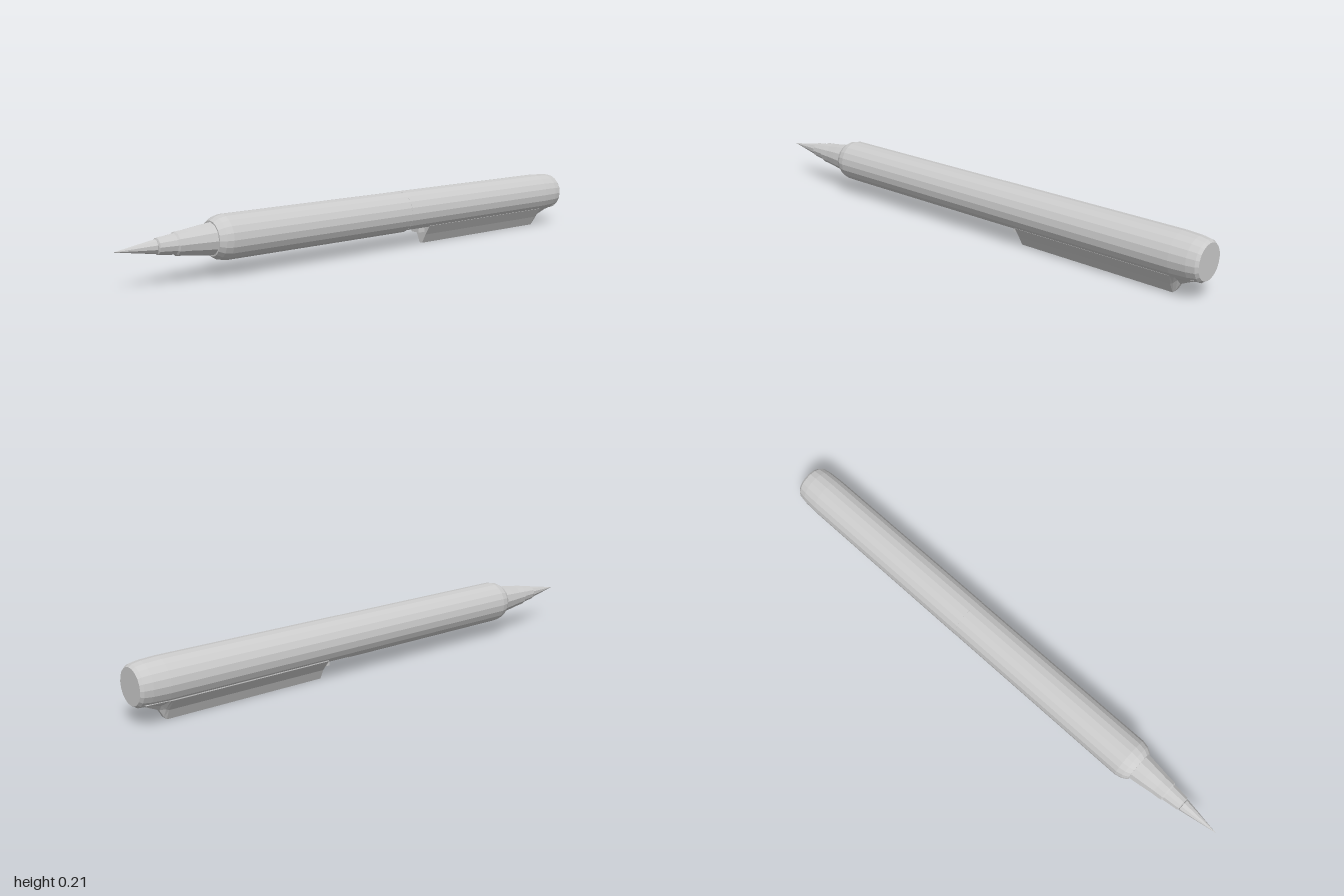
import * as THREE from 'three';

const AXIS_Y = 0.132;
const material = new THREE.MeshStandardMaterial({ color: 0xcccccc, flatShading: true, side: THREE.DoubleSide });

// Turned part along z from [radius, z] pairs, ordered back to front
function turned(name, profile, sides) {
  const geometry = new THREE.LatheGeometry(profile.map(([r, z]) => new THREE.Vector2(r, z)), sides);
  geometry.rotateX(Math.PI / 2);
  geometry.translate(0, AXIS_Y, 0);
  const mesh = new THREE.Mesh(geometry, material);
  mesh.name = name;
  return mesh;
}

// Wedge-shaped clip under the cap: one section swept through [z, height factor] stations
function makeClip() {
  const top = 0.08;
  const section = new THREE.Shape([
    [-0.007, 0], [0.007, 0], [0.026, 0.035], [0.05, 0.072], [0.05, top], [-0.056, top], [-0.056, 0.075], [-0.023, 0.035],
  ].map(([x, y]) => new THREE.Vector2(x, y)));
  const stations = [[-0.98, 0.15], [-0.91, 0.55], [-0.895, 0.88], [-0.885, 1], [-0.27, 1]];
  const steps = stations.length - 1;
  const geometry = new THREE.ExtrudeGeometry(section, { depth: steps, steps, bevelEnabled: false });
  const p = geometry.attributes.position;
  for (let i = 0; i < p.count; i++) {
    const [z, k] = stations[Math.round(p.getZ(i))];
    p.setY(i, top - (top - p.getY(i)) * k);
    p.setZ(i, z);
  }
  geometry.computeVertexNormals();
  const clip = new THREE.Mesh(geometry, material);
  clip.name = 'clip';
  return clip;
}

export function createModel() {
  const pen = new THREE.Group();
  pen.name = 'pen';

  // Rear cap, slightly flattened underneath where the clip sits
  const cap = turned('cap', [[0, -1], [0.062, -1], [0.07, -0.99], [0.075, -0.96], [0.078, -0.9], [0.078, -0.16], [0.07, -0.16]], 20);
  const p = cap.geometry.attributes.position;
  for (let i = 0; i < p.count; i++) p.setY(i, Math.max(p.getY(i), 0.066));
  cap.geometry.computeVertexNormals();
  pen.add(cap);

  // Barrel with a chamfered front shoulder
  pen.add(turned('barrel', [[0.07, -0.16], [0.0775, -0.16], [0.0775, 0.61], [0.072, 0.635], [0.06, 0.655], [0.045, 0.655]], 20));

  // Stepped nose cone and pointed tip
  pen.add(turned('nose', [[0.045, 0.65], [0.056, 0.65], [0.05, 0.7], [0.043, 0.75], [0.04, 0.785], [0.035, 0.79], [0.028, 0.85], [0.018, 0.855]], 12));
  pen.add(turned('tip', [[0.018, 0.85], [0.024, 0.855], [0.015, 0.91], [0.008, 0.95], [0, 1]], 10));

  pen.add(makeClip());

  // Small catch at the free end of the clip
  const catchBlock = new THREE.Mesh(new THREE.BoxGeometry(0.04, 0.03, 0.05), material);
  catchBlock.name = 'clipCatch';
  catchBlock.position.set(0, 0.06, -0.265);
  pen.add(catchBlock);

  return pen;
}
